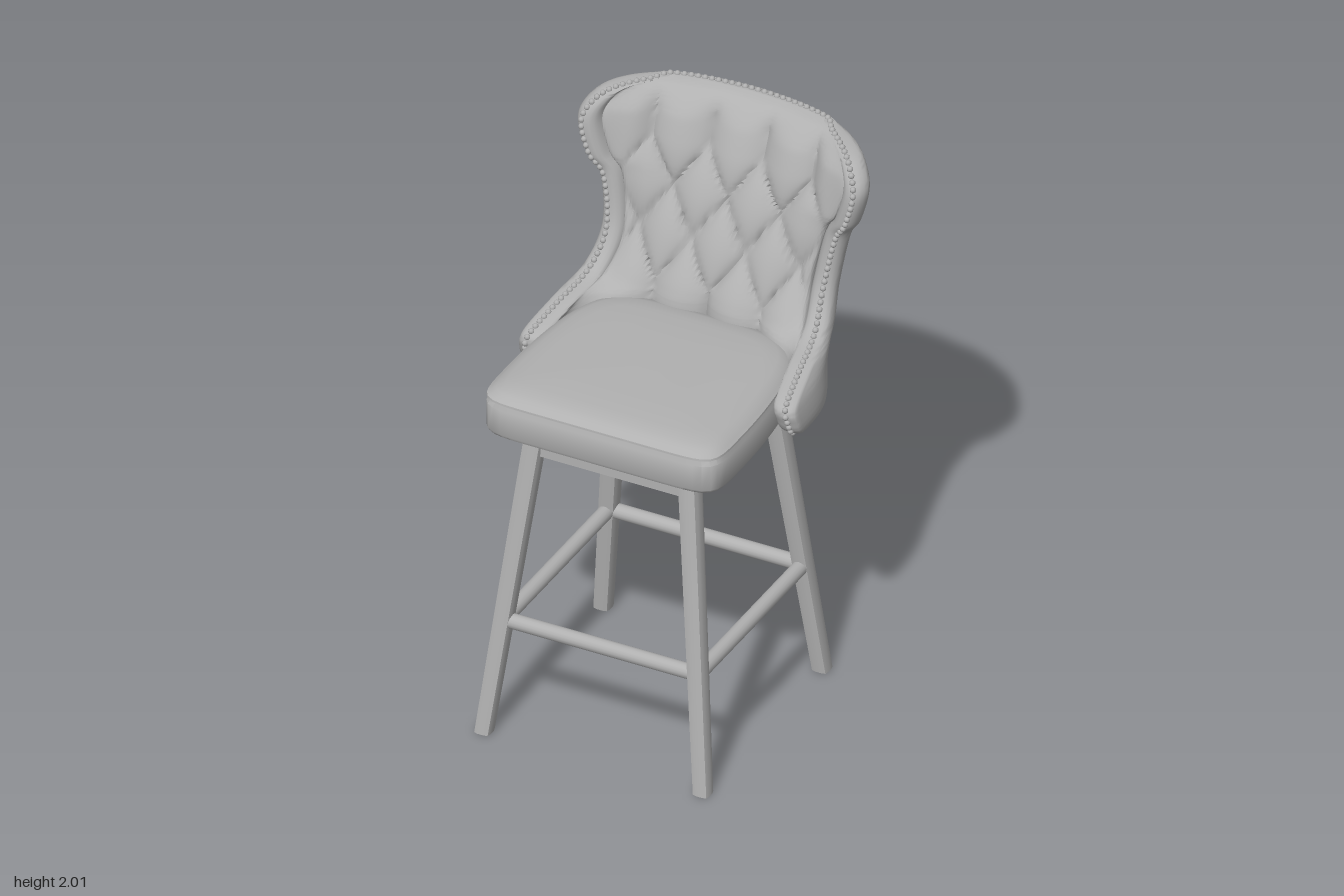
import * as THREE from 'three';
import { mergeGeometries, mergeVertices, toCreasedNormals } from 'three/addons/utils/BufferGeometryUtils.js';

const grey = new THREE.MeshStandardMaterial({ color: 0xb0b0b0 });
const { lerp, smoothstep } = THREE.MathUtils;

function addMesh(parent, name, geometry) {
  const mesh = new THREE.Mesh(geometry, grey);
  mesh.name = name;
  parent.add(mesh);
  return mesh;
}

// Skin a stack of equal closed rings (clockwise seen from above), with
// end caps that join each point j to its partner N - j.
function loft(rings, crease) {
  const N = rings[0].length, last = (rings.length - 1) * N, index = [];
  for (let r = 0; r < rings.length - 1; r++) {
    for (let j = 0; j < N; j++) {
      const a = r * N + j, a2 = r * N + (j + 1) % N, b = a + N, b2 = a2 + N;
      index.push(a, b, a2, a2, b, b2);
    }
  }
  for (let j = 0; j < N / 2; j++) {
    const o = j, o2 = j + 1, i = (N - j) % N, i2 = N - j - 1;
    index.push(last + o, last + i, last + o2, last + o2, last + i, last + i2);
    index.push(o, o2, i, o2, i2, i);
  }
  const g = new THREE.BufferGeometry();
  g.setAttribute('position', new THREE.Float32BufferAttribute(rings.flat().flatMap(p => p.toArray()), 3));
  g.setIndex(index);
  return toCreasedNormals(g, crease);
}

// Unit superellipse: angle 0 points to the back, +-90 degrees to the sides
function superellipse(a, n) {
  const s = Math.sin(a), c = Math.cos(a);
  const k = (Math.abs(s) ** n + Math.abs(c) ** n) ** (-1 / n);
  return [s * k, c * k];
}

// Backrest stations: height, half width, front edge z, outer back z, inner back z,
// roundness, rim depth, rim half thickness
const STATIONS = [
  [1.16, 0.505, 0.04, -0.30, -0.20, 3, 0.02, 0.038],
  [1.175, 0.522, 0.10, -0.33, -0.20, 3, 0.02, 0.04],
  [1.22, 0.525, 0.13, -0.355, -0.20, 3, 0.02, 0.042],
  [1.285, 0.513, 0.13, -0.385, -0.20, 3, 0.025, 0.042],
  [1.335, 0.485, -0.02, -0.41, -0.205, 2.9, 0.03, 0.042],
  [1.38, 0.455, -0.19, -0.425, -0.22, 2.7, 0.035, 0.042],
  [1.50, 0.437, -0.285, -0.475, -0.28, 2.4, 0.04, 0.042],
  [1.68, 0.465, -0.315, -0.535, -0.36, 2, 0.045, 0.042],
  [1.76, 0.51, -0.298, -0.56, -0.395, 1.9, 0.05, 0.042],
  [1.88, 0.54, -0.30, -0.59, -0.45, 1.75, 0.05, 0.042],
  [1.95, 0.51, -0.34, -0.605, -0.49, 1.7, 0.045, 0.04],
  [1.985, 0.45, -0.40, -0.605, -0.525, 1.7, 0.035, 0.035],
  [2.0, 0.33, -0.50, -0.59, -0.56, 1.7, 0.02, 0.02],
];

// Catmull-Rom interpolation through the stations
function station(t) {
  const last = STATIONS.length - 1, i = Math.min(Math.floor(t), last - 1), f = t - i;
  const at = k => STATIONS[Math.max(0, Math.min(last, k))];
  return at(i).map((p1, c) => {
    const p0 = at(i - 1)[c], p2 = at(i + 1)[c], p3 = at(i + 2)[c];
    return p1 + 0.5 * f * (p2 - p0 + f * (2 * p0 - 5 * p1 + 4 * p2 - p3 + f * (3 * (p1 - p2) + p3 - p0)));
  });
}

// Diamond tufting that runs into vertical pleats above and below
function tuft(x, y) {
  const a = x / 0.2, b = Math.max(0, Math.min(3, (y - 1.38) / 0.15));
  const p = Math.abs(Math.sin(Math.PI * (a + b / 2)) * Math.sin(Math.PI * (a - b / 2))) ** 0.35;
  return lerp(p, 1, smoothstep(Math.abs(x), 0.3, 0.4));
}

function outerPoint([y, w, ze, zb, , n, r], u) {
  const [s, c] = superellipse(u * Math.PI / 2, n);
  return new THREE.Vector3(w * s, y, ze - r + (zb - ze + r) * c);
}

function innerPoint([y, w, ze, , zi, n, r, h], u) {
  const [s, c] = superellipse(u * Math.PI / 2, n);
  const x = (w - 2 * h) * s;
  const bulge = 0.045 * tuft(x, y) * (1 - u ** 6) * (1 - smoothstep(y, 1.9, 2.0));
  const sunk = 0.025 * (1 - smoothstep(y, 1.9, 2.0));
  return new THREE.Vector3(x, y, ze - r + (zi - sunk - ze + r) * c + bulge);
}

function rimPoint([y, w, ze, , , , r, h], deg, side) {
  const a = deg * Math.PI / 180;
  return new THREE.Vector3(side * (w - h + h * Math.cos(a)), y, ze - r + r * Math.sin(a));
}

function backRing(s) {
  const M = 96, ring = [];
  for (const d of [90, 67.5, 45, 22.5]) ring.push(rimPoint(s, d, -1));
  for (let i = 0; i <= M; i++) ring.push(outerPoint(s, 2 * i / M - 1));
  for (let d = 22.5; d < 170; d += 22.5) ring.push(rimPoint(s, d, 1));
  for (let i = 0; i <= M; i++) ring.push(innerPoint(s, 1 - 2 * i / M));
  for (const d of [157.5, 135, 112.5]) ring.push(rimPoint(s, d, -1));
  return ring;
}

function buildBackrest(group) {
  const rings = [], top = STATIONS.length - 1;
  for (let k = 0; k <= top * 8; k++) rings.push(backRing(station(k / 8)));
  addMesh(group, 'backrest', loft(rings, 0.9));

  // Nailheads follow the rim up one wing, over the top and down the other
  const up = [], over = [], s = station(top);
  for (let t = 1; t < top; t += 0.25) up.push(t);
  for (let u = -0.9; u < 0.95; u += 0.1) over.push(outerPoint(s, u).lerp(innerPoint(s, u), 0.5));
  const path = new THREE.CatmullRomCurve3([
    ...up.map(t => rimPoint(station(t), 75, -1)),
    ...over,
    ...up.reverse().map(t => rimPoint(station(t), 75, 1)),
  ]);
  const nails = path.getSpacedPoints(Math.round(path.getLength() / 0.024)).map(p =>
    new THREE.SphereGeometry(0.011, 8, 6).translate(p.x, p.y, p.z));
  addMesh(group, 'nailheadTrim', mergeGeometries(nails));
}

// Seat cushion: rounded plan, narrower at the back, with a piped upper edge
function buildCushion(group) {
  const rows = [[0.025, 1.16], [0.006, 1.168], [0, 1.18], [0, 1.275], [0.009, 1.289], [0.009, 1.293],
    [0, 1.297], [0.001, 1.304], [0.012, 1.312], [0.025, 1.322], [0.05, 1.331], [0.1, 1.337], [0.2, 1.341], [0.4, 1.343]];
  const rings = rows.map(([inset, y]) => {
    const ring = [];
    for (let j = 0; j < 128; j++) {
      const a = j / 128 * Math.PI * 2 - Math.PI;
      const [s, c] = superellipse(a, Math.cos(a) > 0 ? 5 : 11);
      const z = 0.17 - c * (0.4 - Math.min(inset, 0.36));
      const taper = 1 - 0.5 * Math.max(0, 0.35 - z) ** 2;
      ring.push(new THREE.Vector3(s * (0.445 - inset) * taper, y, z));
    }
    return ring;
  });
  addMesh(group, 'seatCushion', loft(rings, 0.7));
}

// Splayed, softly squared leg
function legGeometry(x0, z0, x1, z1) {
  const g = new THREE.CylinderGeometry(1, 1, 1.165, 16, 1);
  const p = g.attributes.position;
  for (let i = 0; i < p.count; i++) {
    const t = p.getY(i) / 1.165 + 0.5, half = lerp(0.029, 0.035, t);
    const x = p.getX(i), z = p.getZ(i), d = Math.hypot(x, z);
    const [s, c] = d > 0.5 ? superellipse(Math.atan2(x, z), 5) : [0, 0];
    p.setXYZ(i, lerp(x0, x1, t) + half * s, t * 1.165, lerp(z0, z1, t) + half * c);
  }
  g.deleteAttribute('normal');
  g.deleteAttribute('uv');
  return toCreasedNormals(mergeVertices(g), 0.7);
}

export function createModel() {
  const group = new THREE.Group();
  group.name = 'barStool';
  buildBackrest(group);
  buildCushion(group);

  for (const side of [1, -1]) {
    const label = side > 0 ? 'Left' : 'Right';
    addMesh(group, 'front' + label + 'Leg', legGeometry(side * 0.41, 0.583, side * 0.285, 0.44));
    addMesh(group, 'back' + label + 'Leg', legGeometry(side * 0.41, -0.272, side * 0.285, -0.142));

    // Side foot bar and side apron rail
    addMesh(group, 'side' + label + 'FootBar', new THREE.CylinderGeometry(0.027, 0.027, 0.754, 16).rotateX(Math.PI / 2))
      .position.set(side * 0.364, 0.428, 0.153);
    addMesh(group, 'side' + label + 'Rail', new THREE.BoxGeometry(0.045, 0.095, 0.58))
      .position.set(side * 0.288, 1.113, 0.149);
  }

  // Front and back foot bars and apron rails
  for (const [name, zBar, zRail] of [['front', 0.53, 0.445], ['back', -0.224, -0.147]]) {
    addMesh(group, name + 'FootBar', new THREE.CylinderGeometry(0.027, 0.027, 0.728, 16).rotateZ(Math.PI / 2))
      .position.set(0, 0.428, zBar);
    addMesh(group, name + 'Rail', new THREE.BoxGeometry(0.57, 0.095, 0.045)).position.set(0, 1.113, zRail);
  }

  // Panel closing the underside of the seat
  addMesh(group, 'seatPanel', new THREE.BoxGeometry(0.56, 0.02, 0.58)).position.set(0, 1.15, 0.149);
  return group;
}
